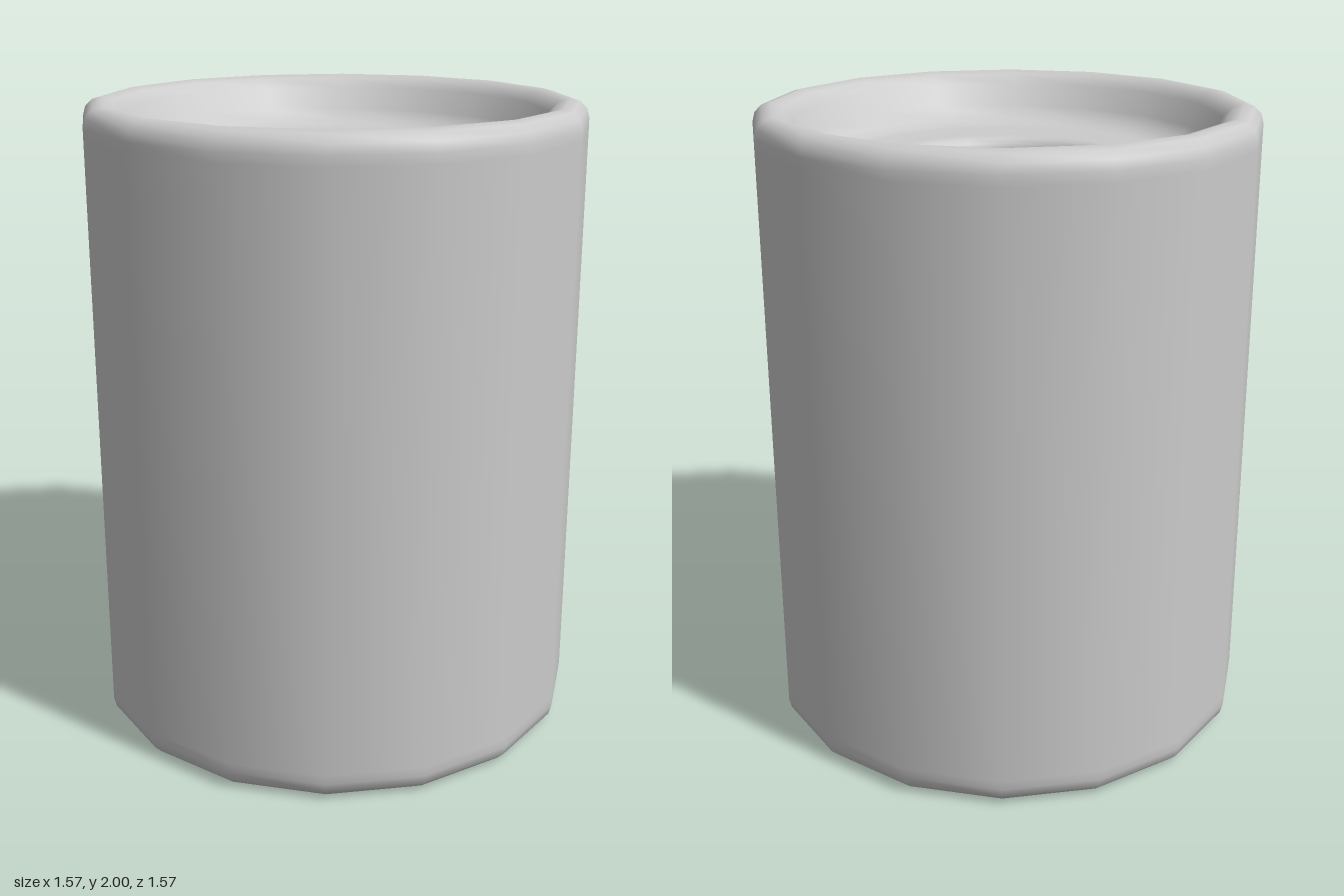
import * as THREE from 'three';

const SIDES = 16;

// Points of a quarter-round from angle a to b (degrees), centred at (cx, cy)
function arc(cx, cy, r, a, b, steps = 3) {
  const pts = [];
  for (let i = 0; i <= steps; i++) {
    const t = THREE.MathUtils.degToRad(a + ((b - a) * i) / steps);
    pts.push(new THREE.Vector2(cx + r * Math.cos(t), cy + r * Math.sin(t)));
  }
  return pts;
}
const p = (x, y) => new THREE.Vector2(x, y);

export function createModel() {
  const group = new THREE.Group();
  group.name = 'canister';

  // One closed profile: base, outer wall, rim, dished top, bore
  const profile = [
    p(0, 0), p(0.70, 0),
    ...arc(0.725, 0.06, 0.06, -90, 0),       // rounded base edge
    p(0.785, 0.09), p(0.785, 1.91),
    ...arc(0.725, 1.94, 0.06, 0, 90),        // rounded outer rim
    p(0.69, 1.99), p(0.66, 1.96),
    p(0.625, 1.89), p(0.595, 1.855),         // sloping wall of the dish
    p(0.55, 1.84), p(0.52, 1.835), p(0.41, 1.83),
    ...arc(0.385, 1.79, 0.04, 90, 180),      // rounded lip of the bore
    p(0.345, 1.75), p(0.345, 0.26),
    p(0.335, 0.22), p(0.30, 0.2), p(0, 0.2), // bore floor
  ];
  const body = new THREE.Mesh(
    new THREE.LatheGeometry(profile, SIDES),
    new THREE.MeshStandardMaterial({ color: 0xcccccc })
  );
  body.name = 'hollowBody';
  group.add(body);
  return group;
}
